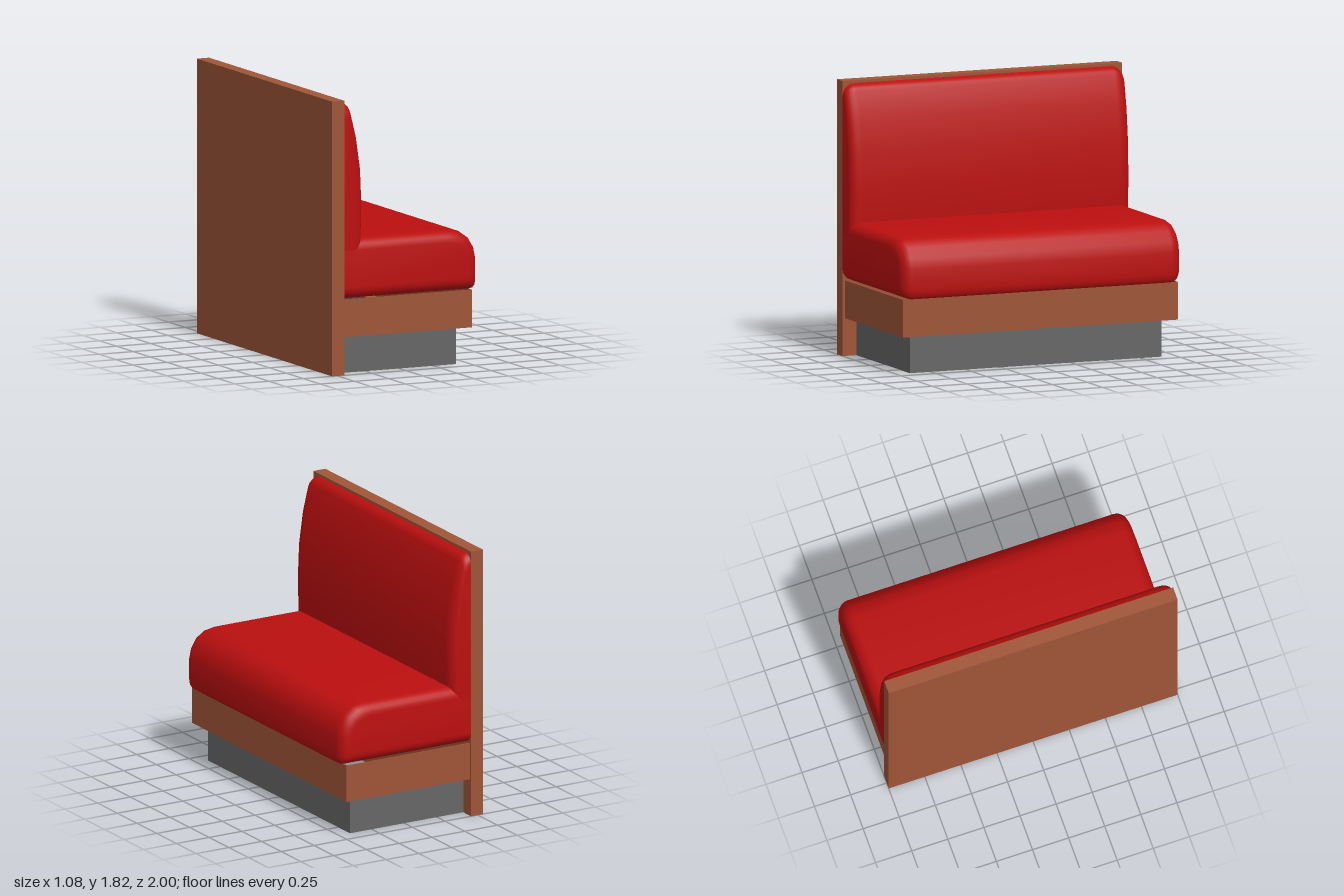
import * as THREE from 'three';
import { toCreasedNormals } from 'three/addons/utils/BufferGeometryUtils.js';

const BACK = -0.45; // plane where every part meets the back panel

// Three-sided wall (front and both ends), open towards the back panel
function uWall(front, halfZ, thick, y, height) {
  const s = new THREE.Shape();
  const t = thick;
  [[BACK, -halfZ], [front, -halfZ], [front, halfZ], [BACK, halfZ],
    [BACK, halfZ - t], [front - t, halfZ - t], [front - t, -halfZ + t], [BACK, -halfZ + t]]
    .forEach(([x, z], i) => (i ? s.lineTo(x, z) : s.moveTo(x, z)));
  const g = new THREE.ExtrudeGeometry(s, { depth: height, bevelEnabled: false });
  g.rotateX(-Math.PI / 2);
  g.translate(0, y, 0);
  return g;
}

// Padded cushion: a side profile swept along z, shrinking in a rounded curve at both ends.
// The profile runs from the lower back, round the front, to the upper back.
function cushion(profile, radius, anchorY, insetX, insetY) {
  const steps = 6;
  const sections = [];
  for (let i = 0; i <= steps; i++) {
    const a = (i / steps) * Math.PI / 2;
    sections.push({ z: 1 - radius + radius * Math.cos(a), k: 1 - Math.sin(a) });
  }
  const all = [...sections.map(({ z, k }) => ({ z: -z, k })), ...sections.reverse()];
  const n = profile.length;
  const pos = [];
  const idx = [];
  for (const { z, k } of all) {
    for (const [x, y] of profile) {
      pos.push(BACK + (x - BACK) * (1 - k * insetX), anchorY + (y - anchorY) * (1 - k * insetY), z);
    }
  }
  for (let s = 0; s < all.length - 1; s++) {
    for (let j = 0; j < n - 1; j++) {
      if (j === 0 && s === steps) continue; // open underside
      const a = s * n + j;
      const b = a + n;
      idx.push(a, a + 1, b + 1, a, b + 1, b);
    }
  }
  // End faces
  const last = (all.length - 1) * n;
  for (let j = 1; j < n - 1; j++) {
    idx.push(last, last + j, last + j + 1);
    idx.push(0, j + 1, j);
  }
  const g = new THREE.BufferGeometry();
  g.setAttribute('position', new THREE.Float32BufferAttribute(pos, 3));
  g.setIndex(idx);
  return toCreasedNormals(g, 0.8);
}

export function createModel() {
  const group = new THREE.Group();
  const material = (name, color) => {
    const m = new THREE.MeshStandardMaterial({ color, side: THREE.DoubleSide });
    m.name = name;
    return m;
  };
  const wood = material('brown wood', 0xa05538);
  const vinyl = material('red vinyl', 0xbb0f0f);
  const kick = material('grey plinth', 0x666666);
  const add = (name, geometry, mat) => {
    const mesh = new THREE.Mesh(geometry, mat);
    mesh.name = name;
    group.add(mesh);
  };

  // Upright back panel
  const panel = new THREE.BoxGeometry(0.09, 1.82, 2);
  panel.translate(BACK - 0.045, 0.91, 0);
  add('backPanel', panel, wood);

  // Hollow plinth and the wooden apron above it
  add('plinth', uWall(0.415, 0.9, 0.006, 0, 0.25), kick);
  add('apron', uWall(0.49, 0.983, 0.006, 0.25, 0.25), wood);
  add('apronLedge', uWall(0.489, 0.982, 0.082, 0.2505, 0.005), wood);

  // Seat cushion with a rounded front edge
  add('seat', cushion([
    [BACK, 0.5], [0.49, 0.5], [0.515, 0.505], [0.53, 0.525], [0.535, 0.56], [0.535, 0.7],
    [0.52, 0.775], [0.482, 0.84], [0.42, 0.885], [0.34, 0.9], [BACK, 0.9],
  ], 0.08, 0.7, 0.08, 0.38), vinyl);

  // Backrest cushion, thickest near the lower back
  add('backrest', cushion([
    [BACK, 0.8], [-0.31, 0.8], [-0.304, 0.95], [-0.3, 1.13], [-0.31, 1.36], [-0.343, 1.58],
    [-0.388, 1.75], [-0.4, 1.775], [-0.42, 1.792], [BACK, 1.802],
  ], 0.08, 0.8, 0.38, 0.08), vinyl);

  return group;
}
